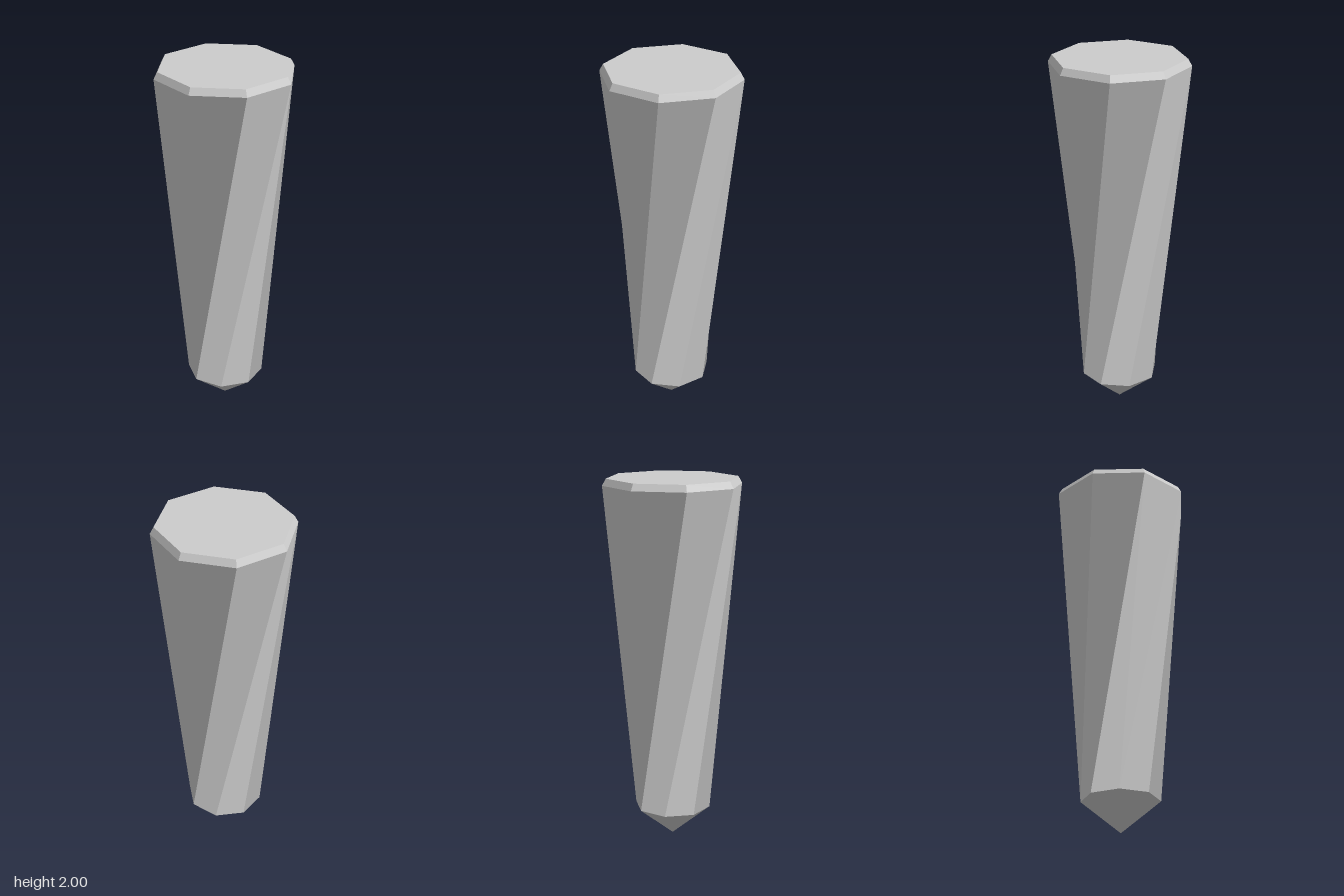
import * as THREE from 'three';

const SIDES = 8;
const STEP = (Math.PI * 2) / SIDES;
const START = STEP / 4;        // turn of the upper rings
const TWIST = STEP * 1.5;      // turn of the lower ring relative to the upper ones

// One octagonal ring of points
function ring(radius, y, turn) {
  return Array.from({ length: SIDES }, (_, i) => {
    const a = turn + i * STEP;
    return new THREE.Vector3(radius * Math.cos(a), y, radius * Math.sin(a));
  });
}

// Flat-shaded mesh: each face is a fan of triangles sharing one averaged normal
function facetMesh(name, faces, material) {
  const positions = [], normals = [];
  for (const face of faces) {
    const normal = new THREE.Vector3();
    face.forEach((p, i) => normal.add(p.clone().cross(face[(i + 1) % face.length])));
    normal.normalize();
    for (let i = 1; i < face.length - 1; i++) {
      for (const p of [face[0], face[i], face[i + 1]]) {
        positions.push(p.x, p.y, p.z);
        normals.push(normal.x, normal.y, normal.z);
      }
    }
  }
  const geometry = new THREE.BufferGeometry();
  geometry.setAttribute('position', new THREE.Float32BufferAttribute(positions, 3));
  geometry.setAttribute('normal', new THREE.Float32BufferAttribute(normals, 3));
  const mesh = new THREE.Mesh(geometry, material);
  mesh.name = name;
  return mesh;
}

// Quads joining an upper ring to a lower one, split along the ridge diagonal
function band(upper, lower) {
  return upper.map((p, i) => {
    const j = (i + 1) % SIDES;
    return [upper[j], lower[j], lower[i], p];
  });
}

export function createModel() {
  const group = new THREE.Group();
  group.name = 'twistedSpike';

  const stone = new THREE.MeshStandardMaterial({ color: 0xcccccc });
  stone.name = 'light grey';

  const top = ring(0.357, 2, START);
  const shoulder = ring(0.377, 1.963, START);
  const base = ring(0.21, 0.17, START + TWIST);
  const point = new THREE.Vector3(0, 0, 0);

  // Flat cap and its narrow bevel
  group.add(facetMesh('topCap', [[...top].reverse()], stone));
  group.add(facetMesh('topBevel', band(top, shoulder), stone));

  // Tapering shaft, twisted between its end rings
  group.add(facetMesh('twistedShaft', band(shoulder, base), stone));

  // Pointed tip
  const tipFaces = base.map((p, i) => [p, base[(i + 1) % SIDES], point]);
  group.add(facetMesh('pointedTip', tipFaces, stone));

  return group;
}
